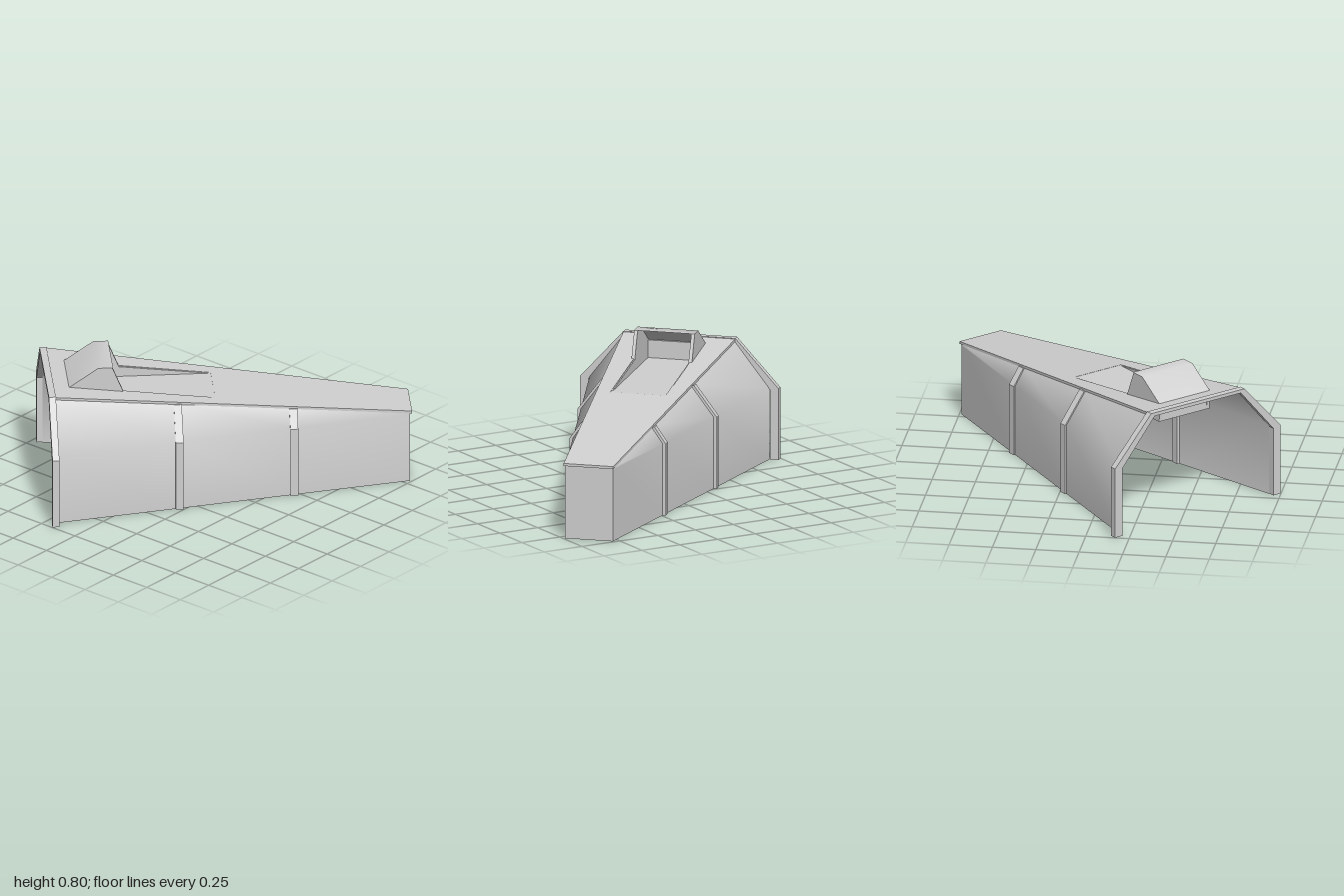
import * as THREE from 'three';

const FRONT = 0.79, BACK = -1.252;
const lerp = THREE.MathUtils.lerp;
const along = (z) => (FRONT - z) / (FRONT - BACK);
const roofY = (z) => lerp(0.697, 0.445, along(z));

// Half cross-section of the shelter at z: foot, knee and eave
function section(z, out = 0) {
  const t = along(z);
  const foot = lerp(0.53, 0.142, t) + out;
  return [[foot, 0], [foot, 0.42], [lerp(0.325, 0.142, t) + out, roofY(z) - 0.012]];
}

// Smooth sheet through rows of points
function loft(rows) {
  const n = rows[0].length, index = [];
  for (let i = 0; i < rows.length - 1; i++) {
    for (let j = 0; j < n - 1; j++) {
      const a = i * n + j, b = a + n;
      index.push(a, b, a + 1, b, b + 1, a + 1);
    }
  }
  const g = new THREE.BufferGeometry();
  g.setAttribute('position', new THREE.Float32BufferAttribute(rows.flat(2), 3));
  g.setIndex(index);
  g.computeVertexNormals();
  return g;
}

const shapeOf = (pts) => new THREE.Shape(pts.map(([x, y]) => new THREE.Vector2(x, y)));
const extrude = (pts, depth) =>
  new THREE.ExtrudeGeometry(shapeOf(pts), { depth, bevelEnabled: false });
const flip = (pts) => pts.map(([x, y]) => [-x, y]).reverse();

export function createModel() {
  const model = new THREE.Group();
  model.name = 'shelter';
  const body = new THREE.Group();
  body.name = 'shelterBody';
  body.rotation.y = -Math.PI / 4;
  model.add(body);

  const grey = new THREE.MeshStandardMaterial({ color: 0xd0d0d0, side: THREE.DoubleSide });
  grey.name = 'light grey';
  const add = (name, geometry, x = 0, y = 0, z = 0) => {
    const m = new THREE.Mesh(geometry, grey);
    m.name = name;
    m.position.set(x, y, z);
    body.add(m);
    return m;
  };

  // Entrance frame
  const outer = [[0.585, 0], [0.585, 0.42], [0.33, 0.7]];
  const inner = [[0.535, 0], [0.535, 0.41], [0.305, 0.68]];
  add('entranceFrame',
    extrude([...outer, ...flip(outer), ...flip(inner).reverse(), ...inner.slice().reverse()], 0.04),
    0, 0, 0.785);

  // Side walls and their ribs
  const ribs = [0.083, -0.583];
  for (const s of [1, -1]) {
    const side = s > 0 ? 'left' : 'right';
    const rows = [FRONT, ...ribs, BACK].map((z) => section(z).map(([x, y]) => [s * x, y, z]));
    add(side + 'Wall', loft(s > 0 ? rows : rows.reverse()));
    for (const z of ribs) {
      const band = [...section(z, 0.014), ...section(z, -0.012).reverse()];
      add(side + 'Rib', extrude(s > 0 ? band : flip(band), 0.045), 0, 0, z - 0.0225);
    }
  }

  // Back wall
  add('backWall', new THREE.BoxGeometry(0.284, 0.436, 0.01), 0, 0.218, BACK);

  // Sloping roof slab with an opening for the vent
  const slab = shapeOf([[-0.33, -FRONT], [0.33, -FRONT], [0.146, 1.268], [-0.146, 1.268]]);
  slab.holes.push(new THREE.Path(
    [[-0.165, -0.69], [-0.165, 0.14], [0.165, 0.14], [0.165, -0.69]]
      .map(([x, y]) => new THREE.Vector2(x, y))));
  const roof = new THREE.ExtrudeGeometry(slab, { depth: 0.015, bevelEnabled: false });
  const p = roof.attributes.position;
  for (let i = 0; i < p.count; i++) {
    const z = -p.getY(i);
    p.setXYZ(i, p.getX(i), roofY(z) - 0.015 + p.getZ(i), z);
  }
  roof.computeVertexNormals();
  add('roof', roof);

  // Sunken vent channel with cheeks that rise into the hood
  const cheek = [[-0.14, 0.575], [0.695, 0.575], [0.7, 0.682], [0.53, 0.799],
    [0.45, 0.799], [0.385, 0.642], [-0.14, 0.58]];
  for (const s of [1, -1]) {
    const g = extrude(cheek, 0.02);
    g.rotateY(-Math.PI / 2);
    add('ventCheek', g, s * 0.168 + 0.01, 0, 0);
  }
  add('ventFloor', new THREE.BoxGeometry(0.35, 0.006, 0.835), 0, 0.578, 0.2775);
  add('ventFront', new THREE.BoxGeometry(0.35, 0.11, 0.01), 0, 0.63, 0.69);

  // Hood over the vent, open at the rear
  const hood = [[0.7, 0.684], [0.53, 0.8], [0.445, 0.8]];
  add('ventHood', loft(hood.map(([z, y]) => [[0.178, y, z], [-0.178, y, z]]).reverse()));

  return model;
}
